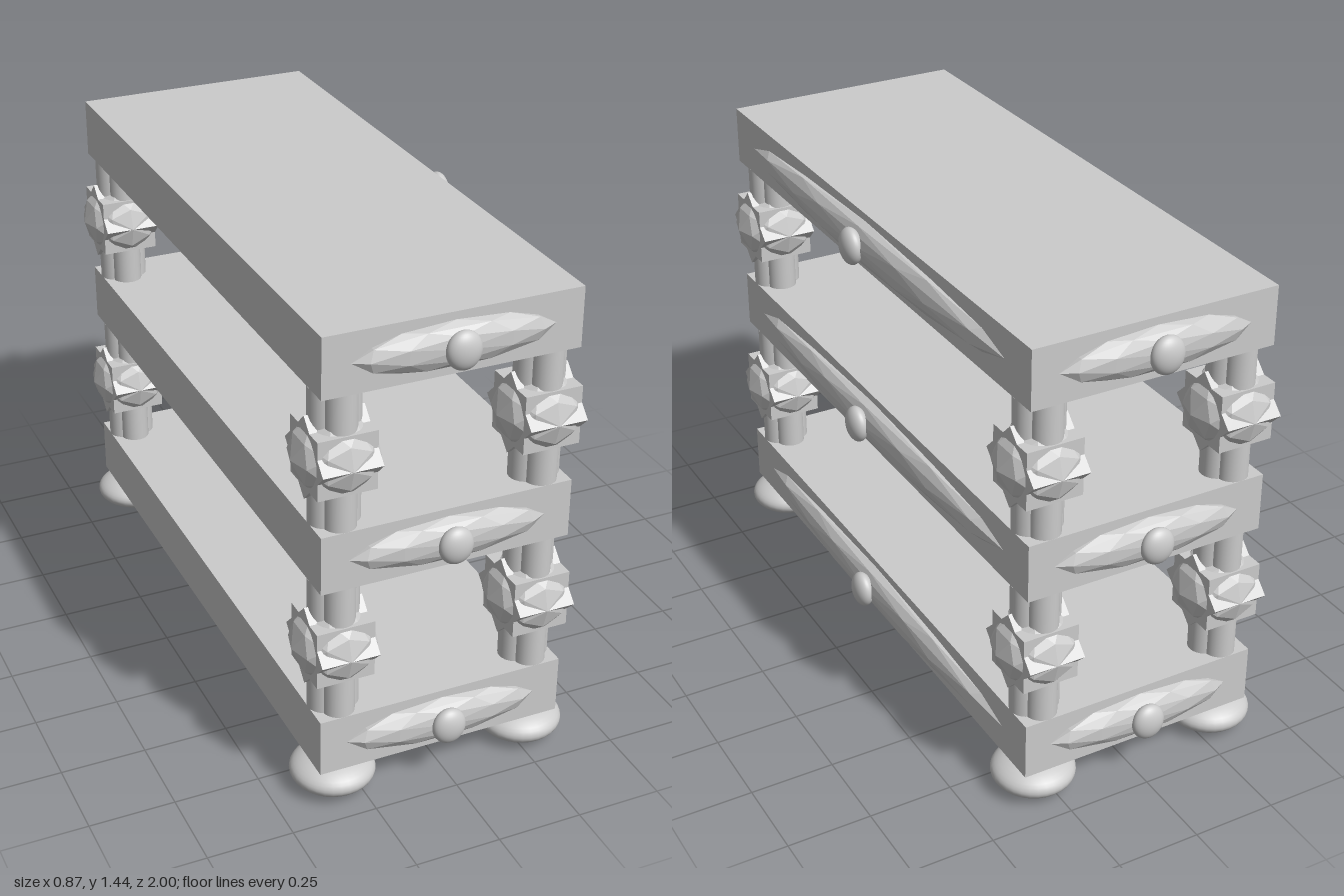
import * as THREE from 'three';

const smooth = new THREE.MeshStandardMaterial({ color: 0xcccccc });
const faceted = new THREE.MeshStandardMaterial({ color: 0xcccccc, flatShading: true });

const CX = -0.015;                 // shelf centre in x
const HALF_X = 0.37, HALF_Z = 0.922;
const SHELF_H = 0.175;
const SHELF_Y = [0.193, 0.783, 1.358];
const POST_X = 0.297, POST_Z = 0.84;

function add(parent, name, geometry, material, x, y, z) {
  const mesh = new THREE.Mesh(geometry, material);
  mesh.name = name;
  mesh.position.set(x, y, z);
  parent.add(mesh);
  return mesh;
}

const ellipsoid = (rx, ry, rz) => new THREE.SphereGeometry(1, 32, 20).scale(rx, ry, rz);
const gem = (rx, ry, rz) => new THREE.IcosahedronGeometry(1, 1).scale(rx, ry, rz);

// Shelf slab with carved lozenges and knobs on both ends and the right-hand edge
function createShelf(y) {
  const shelf = new THREE.Group();
  shelf.name = 'shelf';
  shelf.position.set(CX, y, 0);
  add(shelf, 'slab', new THREE.BoxGeometry(HALF_X * 2, SHELF_H, HALF_Z * 2), faceted, 0, 0, 0);
  for (const s of [-1, 1]) {
    add(shelf, 'endLozenge', gem(0.29, 0.065, 0.043), faceted, 0, 0, s * HALF_Z);
    add(shelf, 'endKnob', ellipsoid(0.05, 0.055, 0.03), smooth, 0, 0, s * 0.968);
  }
  add(shelf, 'sideLozenge', gem(0.043, 0.065, 0.79), faceted, HALF_X, 0, 0);
  add(shelf, 'sideKnob', ellipsoid(0.03, 0.055, 0.05), smooth, 0.418, 0, 0);
  return shelf;
}

// Clustered column with a faceted, studded ball at mid height
function createPost(y0, y1) {
  const post = new THREE.Group();
  post.name = 'post';
  const h = y1 - y0;
  for (const [dx, dz] of [[0.028, 0], [-0.028, 0], [0, 0.036], [0, -0.036]]) {
    add(post, 'shaft', new THREE.CylinderGeometry(0.046, 0.046, h, 24), smooth, dx, 0, dz);
  }
  add(post, 'ball', gem(0.123, 0.118, 0.123), faceted, 0, 0, 0);
  for (const turn of [0, Math.PI / 4]) {
    const stud = add(post, 'ballStuds', new THREE.BoxGeometry(0.17, 0.172, 0.172), faceted, 0, 0, 0);
    stud.rotation.x = turn;
  }
  post.position.y = (y0 + y1) / 2;
  return post;
}

export function createModel() {
  const model = new THREE.Group();
  model.name = 'shelfUnit';
  for (const y of SHELF_Y) model.add(createShelf(y));

  for (const sx of [-1, 1]) {
    for (const sz of [-1, 1]) {
      const x = CX + sx * POST_X, z = sz * POST_Z;
      // Bun foot
      add(model, 'foot', ellipsoid(0.122, 0.054, 0.122), smooth, x, 0.056, z);
      // Posts between neighbouring shelves
      for (let i = 0; i < 2; i++) {
        const post = createPost(SHELF_Y[i] + SHELF_H / 2, SHELF_Y[i + 1] - SHELF_H / 2);
        post.position.x = x;
        post.position.z = z;
        model.add(post);
      }
    }
  }
  return model;
}
